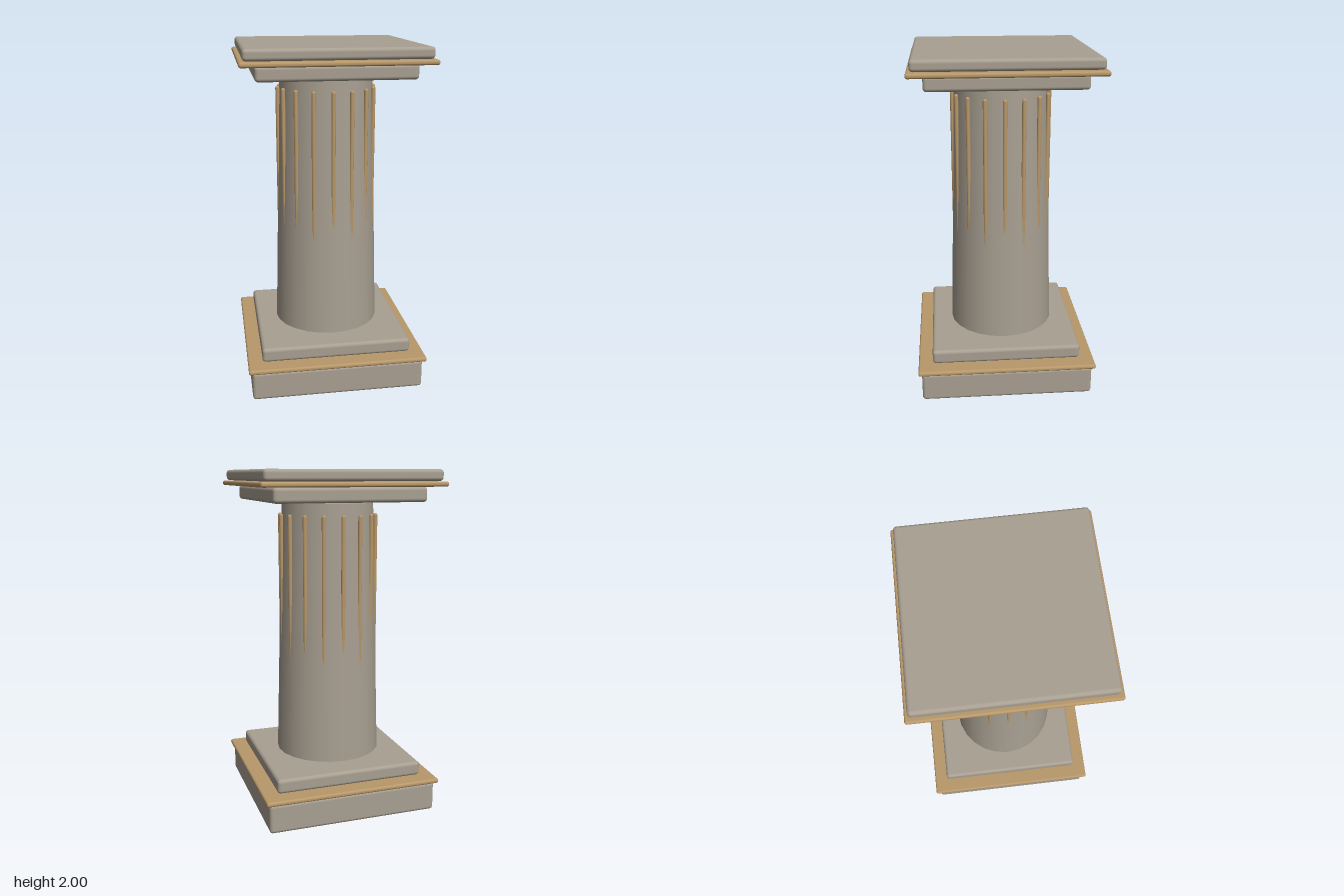
import * as THREE from 'three';
import { RoundedBoxGeometry } from 'three/addons/geometries/RoundedBoxGeometry.js';

export function createModel() {
  const stone = new THREE.MeshStandardMaterial({ color: 0xa89f91 });
  stone.name = 'stone';
  const gold = new THREE.MeshStandardMaterial({ color: 0xb8986a });
  gold.name = 'gold';

  const model = new THREE.Group();
  model.name = 'pedestal';
  const add = (name, geometry, material, x, y, z) => {
    const mesh = new THREE.Mesh(geometry, material);
    mesh.name = name;
    mesh.position.set(x, y, z);
    model.add(mesh);
  };

  // Square slabs with softened edges
  const slab = (name, width, bottom, top, radius, material) =>
    add(name, new RoundedBoxGeometry(width, top - bottom, width, 4, radius),
      material, 0, (bottom + top) / 2, 0);

  // Base
  slab('plinth', 1.01, 0, 0.173, 0.02, stone);
  slab('baseTrim', 1.05, 0.173, 0.201, 0.012, gold);
  slab('baseStep', 0.88, 0.203, 0.287, 0.02, stone);

  // Capital
  slab('capitalStep', 0.88, 1.823, 1.907, 0.02, stone);
  slab('capitalTrim', 1.05, 1.907, 1.935, 0.012, gold);
  slab('capitalSlab', 1.01, 1.937, 2, 0.02, stone);

  // Tapered shaft, floating between base and capital
  const bottom = 0.302, top = 1.812;
  add('shaft', new THREE.CylinderGeometry(0.272, 0.315, top - bottom, 24),
    stone, 0, (bottom + top) / 2, 0);

  // Upright rods that sink into the widening shaft
  const rodRadius = 0.0125, rodTop = 1.75, rodBottom = 0.4;
  const rod = new THREE.CapsuleGeometry(rodRadius, rodTop - rodBottom - 2 * rodRadius, 4, 10);
  for (let i = 0; i < 16; i++) {
    const a = (i / 16) * Math.PI * 2;
    add('rod' + (i + 1), rod, gold,
      Math.sin(a) * 0.284, (rodTop + rodBottom) / 2, Math.cos(a) * 0.284);
  }
  return model;
}
